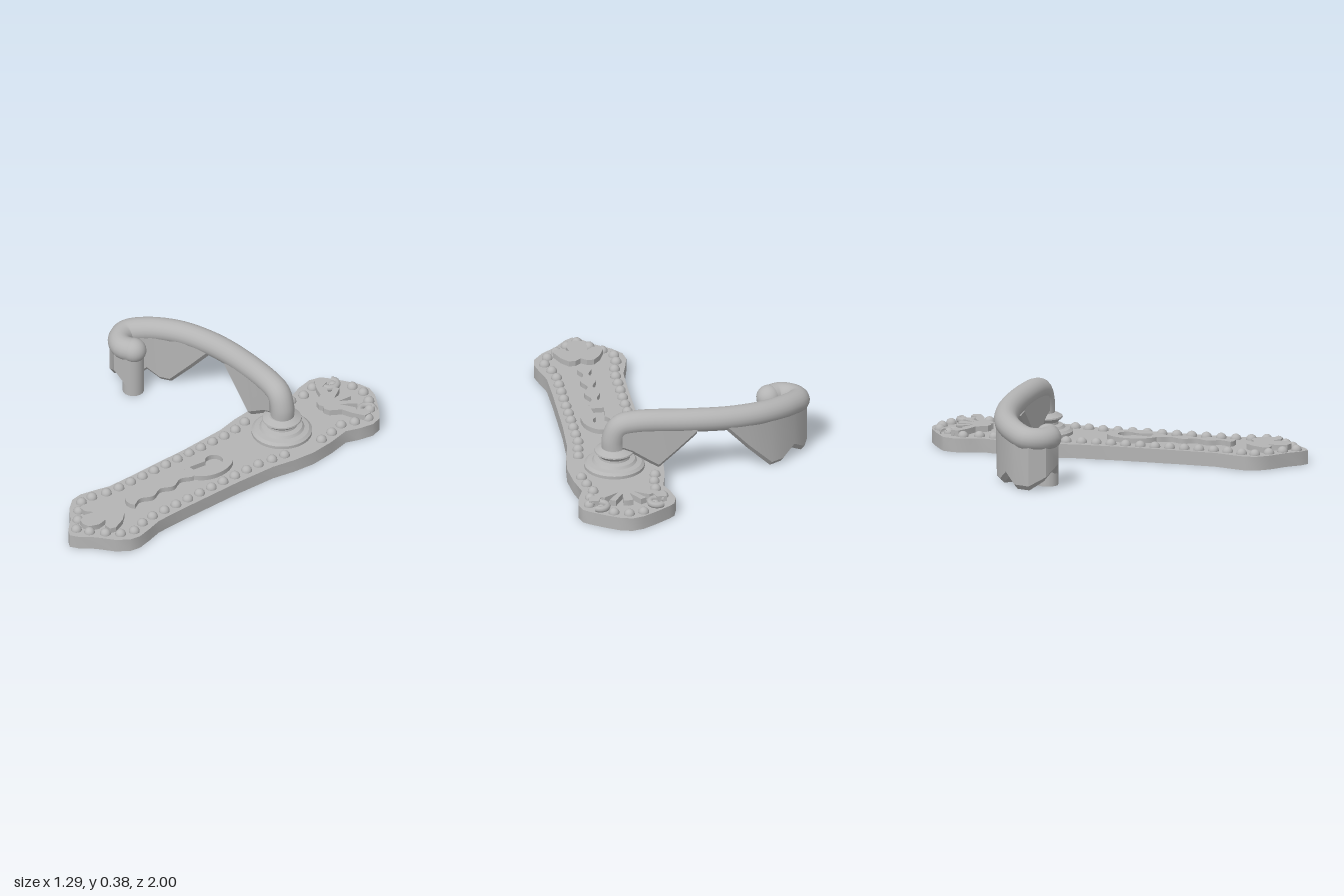
import * as THREE from 'three';
import { toCreasedNormals } from 'three/addons/utils/BufferGeometryUtils.js';

const CX = 0.395;   // centre line of the back plate
const TOP = 0.072;  // top face of the back plate
const metal = new THREE.MeshStandardMaterial({ color: 0xb4b4b4, side: THREE.DoubleSide });
metal.name = 'grey metal';

const v2 = (pts) => pts.map(([x, z]) => new THREE.Vector2(x, -z));

// Mirror a half outline, given as [half width, z], about the plate centre line
function mirrored(half) {
  const right = half.map(([w, z]) => [CX + w, z]);
  const left = half.filter(([w]) => w > 0).map(([w, z]) => [CX - w, z]).reverse();
  return [...right, ...left];
}

export function createModel() {
  const model = new THREE.Group();
  function add(parent, name, geometry, x = 0, y = 0, z = 0) {
    const m = new THREE.Mesh(geometry, metal);
    m.name = name;
    m.position.set(x, y, z);
    parent.add(m);
    return m;
  }
  // Upright slab from a plan shape
  function slab(parent, name, shape, y, height) {
    const g = new THREE.ExtrudeGeometry(shape, { depth: height, bevelEnabled: false, curveSegments: 20 });
    g.rotateX(-Math.PI / 2);
    return add(parent, name, toCreasedNormals(g, 0.6), 0, y, 0);
  }

  // Back plate
  const plate = new THREE.Shape(v2(mirrored([
    [0, -1], [0.06, -0.985], [0.13, -0.945], [0.205, -0.895], [0.235, -0.87], [0.252, -0.81],
    [0.235, -0.73], [0.21, -0.665], [0.235, -0.55], [0.248, -0.42], [0.235, -0.3], [0.21, -0.18],
    [0.198, 0.05], [0.195, 0.4], [0.198, 0.57], [0.22, 0.65], [0.238, 0.73], [0.228, 0.79],
    [0.18, 0.85], [0.1, 0.91], [0.04, 0.975], [0, 1],
  ])));
  slab(model, 'backPlate', plate, 0, TOP);

  // Beaded border
  const beads = new THREE.Group();
  beads.name = 'beadBorder';
  model.add(beads);
  const spots = [
    [0.205, -0.78], [0.23, -0.7], [0.225, -0.62], [0.21, -0.55], [0.215, -0.32], [0.235, -0.24],
    [0.235, 0.62], [0.215, 0.7], [0.215, 0.77], [0.265, 0.83], [0.325, 0.885], [0.38, 0.942],
    [0.44, 0.905], [0.5, 0.85], [0.555, 0.795], [0.58, 0.725], [0.555, 0.65], [0.565, -0.29],
    [0.555, -0.215], [0.585, -0.52], [0.57, -0.6], [0.55, -0.68], [0.575, -0.75], [0.592, -0.825],
    [0.54, -0.88], [0.48, -0.925], [0.405, -0.95], [0.33, -0.94], [0.26, -0.87],
  ];
  for (let i = 0; i < 10; i++) spots.push([0.242, -0.16 + i * 0.078], [0.542, -0.135 + i * 0.0785]);
  const beadGeo = new THREE.SphereGeometry(0.028, 16, 12);
  for (const [x, z] of spots) add(beads, 'bead', beadGeo, x, TOP, z);

  // Keyhole surround
  const surround = new THREE.Shape();
  surround.absellipse(0.393, -0.072, 0.102, 0.14, 0, Math.PI * 2);
  const keyhole = new THREE.Path();
  keyhole.moveTo(0.36, -0.17);
  keyhole.lineTo(0.372, -0.075);
  keyhole.absarc(0.393, -0.035, 0.045, Math.PI * 1.33, Math.PI * 1.67, true);
  keyhole.lineTo(0.428, -0.17);
  surround.holes.push(keyhole);
  slab(model, 'keyholeSurround', surround, TOP - 0.004, 0.03);

  // Wavy bar below the keyhole
  const bar = [];
  for (let i = 0; i <= 32; i++) {
    const t = i / 32;
    bar.push([(0.027 + 0.013 * Math.cos(t * Math.PI * 6)) * (i === 32 ? 0.4 : 1), 0.205 + 0.405 * t]);
  }
  slab(model, 'wavyBar', new THREE.Shape(v2(mirrored(bar))), TOP - 0.004, 0.03);

  // Leaf at the lower end
  const leaf = new THREE.Shape(v2(mirrored([
    [0, 0.715], [0.03, 0.69], [0.065, 0.69], [0.1, 0.73], [0.13, 0.8], [0.12, 0.83],
    [0.08, 0.83], [0.045, 0.8], [0.055, 0.85], [0.035, 0.9], [0, 0.91],
  ])));
  slab(model, 'lowerLeaf', leaf, TOP - 0.004, 0.033);

  // Fan with side scrolls at the upper end
  const fan = new THREE.Group();
  fan.name = 'upperFan';
  model.add(fan);
  const fanBase = new THREE.Shape(v2(mirrored([
    [0, -0.86], [0.025, -0.855], [0.018, -0.78], [0.065, -0.855], [0.095, -0.84], [0.04, -0.765],
    [0.115, -0.81], [0.135, -0.8], [0.15, -0.84], [0.2, -0.84], [0.2, -0.8], [0.14, -0.765],
    [0.085, -0.745], [0.05, -0.69], [0.02, -0.68], [0, -0.69],
  ])));
  slab(fan, 'fanRays', fanBase, TOP - 0.004, 0.035);
  for (const s of [-1, 1]) {
    const pts = [];
    for (let i = 0; i <= 16; i++) {
      const a = 0.6 + i * 0.3, r = 0.05 - i * 0.0012;
      pts.push(new THREE.Vector3(CX + s * (0.15 + r * Math.cos(a)), TOP + 0.012, -0.865 + r * Math.sin(a)));
    }
    const scroll = new THREE.TubeGeometry(new THREE.CatmullRomCurve3(pts), 32, 0.017, 8);
    add(fan, s < 0 ? 'rightScroll' : 'leftScroll', scroll);
  }

  // Turned rose and collar
  const profile = [
    [0.155, 0.06], [0.155, 0.088], [0.14, 0.1], [0.115, 0.105], [0.105, 0.118], [0.08, 0.124],
    [0.078, 0.135], [0.102, 0.158], [0.1, 0.165], [0.068, 0.182], [0, 0.182],
  ].map(([r, y]) => new THREE.Vector2(r, y));
  const rose = toCreasedNormals(new THREE.LatheGeometry(profile, 40), 0.4);
  add(model, 'rose', rose, CX + 0.003, 0, -0.413);

  // Lever: neck, long grip and curled end
  const path = new THREE.CatmullRomCurve3([
    [0.402, 0.15, -0.413], [0.402, 0.23, -0.413], [0.37, 0.297, -0.416], [0.29, 0.318, -0.423],
    [0, 0.314, -0.438], [-0.2, 0.303, -0.423], [-0.38, 0.292, -0.372], [-0.52, 0.277, -0.283],
    [-0.583, 0.262, -0.2], [-0.555, 0.255, -0.135], [-0.5, 0.253, -0.11], [-0.442, 0.252, -0.135],
  ].map((p) => new THREE.Vector3(...p)));
  const lever = new THREE.Group();
  lever.name = 'lever';
  model.add(lever);
  add(lever, 'grip', new THREE.TubeGeometry(path, 90, 0.061, 20));
  add(lever, 'curledTip', new THREE.SphereGeometry(0.064, 24, 16), -0.442, 0.252, -0.135);

  // Vertical web under the lever, from sections [x, z, top, bottom]
  function web(name, sections, w) {
    const pos = [], index = [], n = sections.length;
    sections.forEach(([x, z, top, bottom], i) => {
      const a = sections[Math.max(i - 1, 0)], b = sections[Math.min(i + 1, n - 1)];
      const d = new THREE.Vector2(b[0] - a[0], b[1] - a[1]).normalize();
      const low = Math.min(bottom + 0.025, top);
      for (const [s, y] of [[1, top], [1, low], [0.6, bottom], [-0.6, bottom], [-1, low], [-1, top]]) {
        pos.push(x - d.y * s * w, y, z + d.x * s * w);
      }
    });
    for (let i = 0; i < n - 1; i++) {
      for (let j = 0; j < 6; j++) {
        const a = i * 6 + j, b = i * 6 + (j + 1) % 6;
        index.push(a, b, b + 6, a, b + 6, a + 6);
      }
    }
    const e = (n - 1) * 6;
    for (let j = 1; j < 5; j++) index.push(0, j + 1, j, e, e + j, e + j + 1);
    const g = new THREE.BufferGeometry();
    g.setAttribute('position', new THREE.Float32BufferAttribute(pos, 3));
    g.setIndex(index);
    add(model, name, toCreasedNormals(g, 0.6));
  }
  web('outerSupport', [
    [-0.17, -0.428, 0.285, 0.25], [-0.28, -0.404, 0.285, 0.125], [-0.395, -0.365, 0.285, 0],
    [-0.45, -0.333, 0.28, 0], [-0.51, -0.288, 0.27, 0.05], [-0.562, -0.235, 0.26, 0],
    [-0.58, -0.185, 0.255, 0], [-0.555, -0.138, 0.25, 0.045], [-0.505, -0.112, 0.25, 0.1],
    [-0.455, -0.13, 0.25, 0.03],
  ], 0.053);
  web('innerSupport', [
    [-0.02, -0.437, 0.29, 0.25], [0.08, -0.433, 0.3, 0.155], [0.175, -0.428, 0.3, 0.068],
    [0.22, -0.425, 0.3, 0.095], [0.31, -0.42, 0.3, 0.155], [0.36, -0.416, 0.28, 0.175],
  ], 0.053);
  add(model, 'tipSupport', new THREE.CylinderGeometry(0.055, 0.055, 0.25, 16), -0.447, 0.125, -0.135);

  return model;
}
